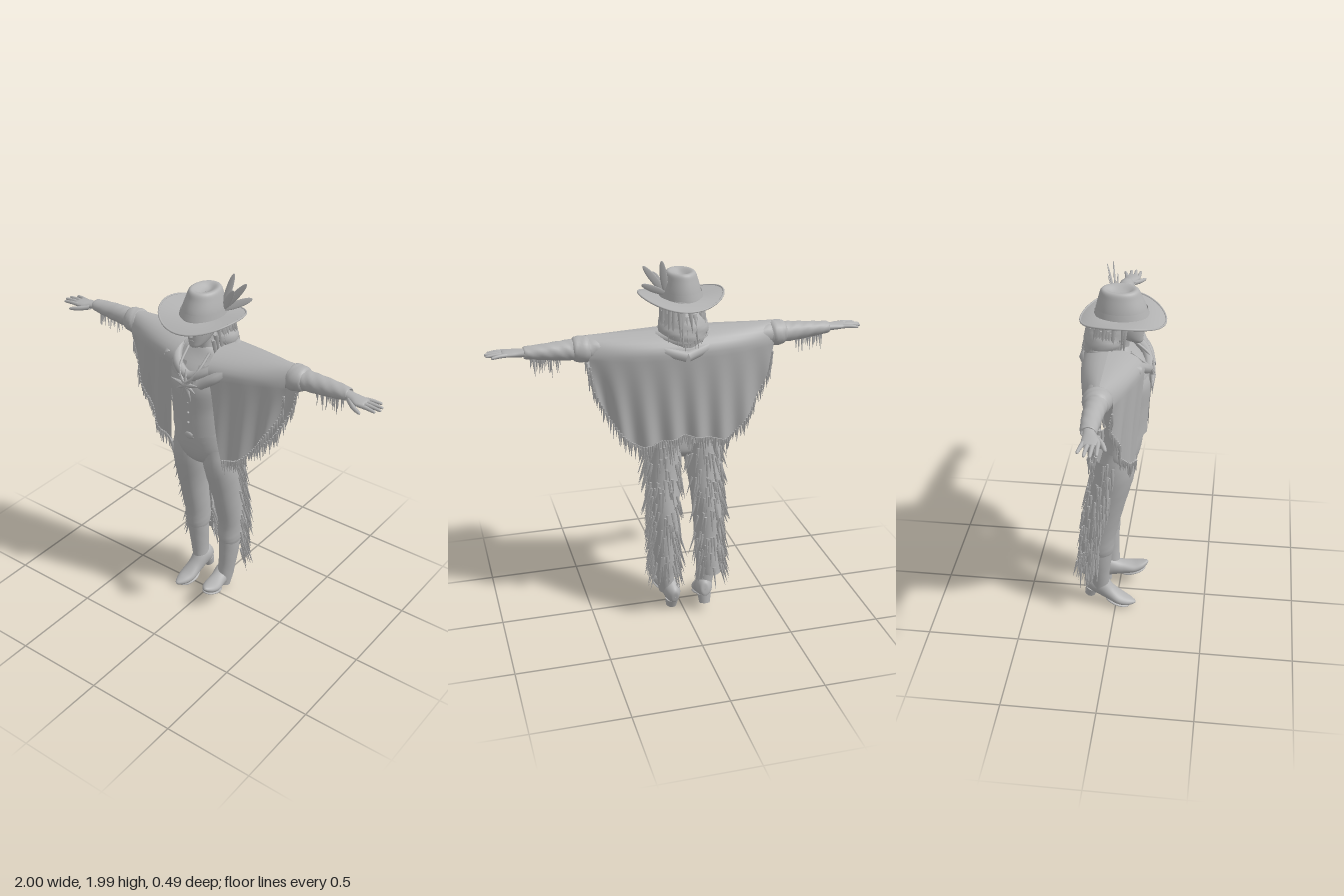
import * as THREE from 'three';
import { mergeGeometries } from 'three/addons/utils/BufferGeometryUtils.js';

const clay = new THREE.MeshStandardMaterial({ color: 0xb2b2b2, side: THREE.DoubleSide });
clay.name = 'plain grey';
const TAU = Math.PI * 2;
const V = (x, y, z) => new THREE.Vector3(x, y, z);
let seed = 7;
const rnd = (a = 0, b = 1) => {
  seed = (seed * 16807) % 2147483647;
  return a + (b - a) * seed / 2147483647;
};

// Grid surface from f(u, v); optionally joined where u wraps round
function grid(f, nu, nv, wrap = false) {
  const pos = [], idx = [], cols = wrap ? nu : nu + 1;
  for (let j = 0; j <= nv; j++)
    for (let i = 0; i < cols; i++) pos.push(...f(i / nu, j / nv));
  for (let j = 0; j < nv; j++)
    for (let i = 0; i < nu; i++) {
      const a = j * cols + i, b = j * cols + (i + 1) % cols;
      idx.push(a, b, a + cols, b, b + cols, a + cols);
    }
  const g = new THREE.BufferGeometry();
  g.setAttribute('position', new THREE.Float32BufferAttribute(pos, 3));
  g.setIndex(idx);
  g.computeVertexNormals();
  return g;
}

// Smooth loft through elliptical rings [t, p, q, rp, rq] along an axis
function loft(rings, axis = 'y', a0 = 0, a1 = TAU, ripple = 0, n = 28) {
  const c = new THREE.CatmullRomCurve3(rings.map(r => V(r[0], r[1], r[2])), false, 'catmullrom');
  const s = new THREE.CatmullRomCurve3(rings.map(r => V(r[3], r[4], 0)), false, 'catmullrom');
  return grid((u, v) => {
    const a = a0 + u * (a1 - a0), m = c.getPoint(v), r = s.getPoint(v);
    const k = 1 + ripple * Math.sin(a * 3 + v * 25) * Math.sin(v * 40 + a);
    const p = m.y + r.x * k * Math.sin(a), q = m.z + r.y * k * Math.cos(a);
    return axis === 'y' ? [p, m.x, q] : axis === 'x' ? [m.x, p, q] : [p, q, m.x];
  }, n, (rings.length - 1) * 5, a1 - a0 > 6.28);
}

// Tapered strand starting at a point and running along a direction
function strand(from, dir, len, w, sides = 4) {
  const g = new THREE.ConeGeometry(w, len, sides, 1);
  g.translate(0, len / 2, 0);
  g.applyQuaternion(new THREE.Quaternion().setFromUnitVectors(V(0, 1, 0), dir.clone().normalize()));
  return g.translate(from.x, from.y, from.z);
}
const tube = (pts, r, closed = false) =>
  new THREE.TubeGeometry(new THREE.CatmullRomCurve3(pts.map(p => V(...p)), closed), 48, r, 8, closed);
function ball(x, y, z, rx, ry, rz) {
  return new THREE.SphereGeometry(1, 20, 14).scale(rx, ry, rz).translate(x, y, z);
}

// Poncho: the cloth arches over the arms and hangs in front and behind
const hem = (x, side) => {
  const t = Math.min(1, Math.abs(x) / 0.49);
  return side > 0 ? 1.0 + 0.38 * Math.max(0, (t - 0.4) / 0.6) ** 1.7
    : 1.06 - 0.1 * t + 0.4 * Math.max(0, (t - 0.45) / 0.55) ** 1.7;
};
function drape(x, side, v) {
  const t = Math.min(1, Math.abs(x) / 0.49), top = 1.63;
  const out = side > 0 ? 0.17 - 0.14 * t ** 1.3 : -0.18 + 0.08 * t * t;
  if (v < 0.3) {
    const a = v / 0.3 * Math.PI / 2;
    return [x, top - 0.1 * (1 - Math.cos(a)), -0.035 + (out + 0.035) * Math.sin(a)];
  }
  const k = (v - 0.3) / 0.7;
  return [x * (1 - 0.04 * k), top - 0.1 + (hem(x, side) - top + 0.1) * k,
    out * (1 - 0.25 * k) + 0.014 * k * Math.sin(x * 45 + k * 2)];
}

export function createModel() {
  seed = 7;
  const model = new THREE.Group();
  model.name = 'fringedFigure';
  const add = (name, geo, parent = model) => {
    const m = new THREE.Mesh(Array.isArray(geo)
      ? mergeGeometries(geo.map(g => { g.deleteAttribute('uv'); return g; })) : geo, clay);
    m.name = name;
    parent.add(m);
    return m;
  };

  // Head and hair
  add('neck', loft([[1.52, -0.01, 0, 0.07, 0.06], [1.6, -0.01, 0.01, 0.045, 0.045], [1.7, -0.01, 0.02, 0.045, 0.05]]));
  add('head', loft([[1.625, -0.01, 0.1, 0.002, 0.002], [1.635, -0.01, 0.095, 0.028, 0.03], [1.665, -0.01, 0.06, 0.052, 0.068],
    [1.72, -0.01, 0.035, 0.07, 0.093], [1.78, -0.01, 0.02, 0.075, 0.1], [1.84, -0.01, 0.02, 0.05, 0.07]]));
  add('face', [strand(V(-0.01, 1.755, 0.118), V(0, -0.055, 0.012), 0.06, 0.012), ball(-0.01, 1.698, 0.135, 0.012, 0.01, 0.014),
    ball(-0.01, 1.67, 0.118, 0.02, 0.007, 0.012), ball(-0.04, 1.735, 0.113, 0.014, 0.007, 0.01), ball(0.02, 1.735, 0.113, 0.014, 0.007, 0.01)]);
  add('hair', loft([[1.8, -0.01, -0.01, 0.085, 0.095], [1.72, -0.01, -0.035, 0.105, 0.11], [1.64, -0.01, -0.06, 0.13, 0.115],
    [1.56, -0.01, -0.09, 0.1, 0.08]], 'y', 0.85, TAU - 0.85, 0.04, 44));
  const locks = [];
  for (let i = 0; i < 46; i++) {
    const a = 0.8 + (TAU - 1.6) * i / 45, y = rnd(1.66, 1.76);
    locks.push(strand(V(-0.01 + 0.1 * Math.sin(a), y, -0.035 + 0.105 * Math.cos(a)),
      V(Math.sin(a) * 0.2, -1, Math.cos(a) * 0.2 - 0.15), rnd(0.12, 0.19), 0.016));
  }
  add('hairLocks', locks);

  // Hat: saddle-shaped brim, creased crown, band and feathers
  add('hatBrim', grid((u, v) => {
    const a = u * TAU, r = 0.4 + 0.6 * v, s = Math.sin(a), c = Math.cos(a);
    return [-0.02 + 0.22 * r * s, 1.785 + 0.022 * v * s * s - 0.03 * v * v * c * c, 0.025 + 0.215 * r * c];
  }, 48, 8, true));
  add('hatBrimEdge', tube(Array.from({ length: 24 }, (_, i) => {
    const s = Math.sin(i / 24 * TAU), c = Math.cos(i / 24 * TAU);
    return [-0.02 + 0.22 * s, 1.785 + 0.022 * s * s - 0.03 * c * c, 0.025 + 0.215 * c];
  }), 0.005, true));
  add('hatCrown', loft([[1.78, -0.018, 0.018, 0.108, 0.135], [1.83, -0.016, 0.015, 0.1, 0.125], [1.88, -0.015, 0.01, 0.086, 0.108],
    [1.912, -0.015, 0.008, 0.074, 0.095], [1.918, -0.015, 0.008, 0.055, 0.075], [1.9, -0.015, 0.008, 0.02, 0.04], [1.895, -0.015, 0.008, 0.001, 0.001]]));
  add('hatBand', loft([[1.79, -0.018, 0.018, 0.112, 0.139], [1.82, -0.016, 0.016, 0.106, 0.132]]));
  const feathers = [[0.105, 1.995, -0.07], [0.195, 1.97, -0.05], [0.21, 1.885, -0.08], [0.14, 1.93, -0.02]].map(tip => {
    const a = V(0.07, 1.81, -0.02), d = V(...tip).sub(a), len = d.length();
    const g = ball(0, len * 0.5, 0, 0.019, len * 0.5, 0.004);
    g.applyQuaternion(new THREE.Quaternion().setFromUnitVectors(V(0, 1, 0), d.normalize()));
    return g.translate(a.x, a.y, a.z);
  });
  add('hatFeathers', feathers);

  // Torso, vest and hips
  add('shirt', loft([[1.08, -0.02, 0.035, 0.15, 0.1], [1.2, -0.02, 0.04, 0.142, 0.103], [1.35, -0.02, 0.045, 0.15, 0.11],
    [1.48, -0.015, 0.04, 0.17, 0.115], [1.57, -0.01, 0, 0.16, 0.08], [1.61, -0.01, 0, 0.06, 0.05]]));
  const vest = loft([[1.17, -0.02, 0.043, 0.158, 0.116], [1.3, -0.02, 0.046, 0.157, 0.12], [1.42, -0.018, 0.047, 0.168, 0.125],
    [1.54, -0.01, 0.02, 0.17, 0.1]], 'y', 0.22, TAU - 0.22, 0.008, 40);
  const vp = vest.attributes.position;
  for (let i = 0; i < vp.count; i++) {
    const front = Math.max(0, vp.getZ(i) - 0.06) / 0.1, low = Math.max(0, 1 - (vp.getY(i) - 1.17) / 0.2);
    vp.setY(i, vp.getY(i) - 0.045 * front * low);
  }
  vest.computeVertexNormals();
  add('vest', vest);
  add('hips', loft([[0.9, -0.02, 0.01, 0.02, 0.04], [0.94, -0.02, 0.01, 0.13, 0.085], [1.0, -0.02, 0.02, 0.178, 0.1],
    [1.08, -0.02, 0.03, 0.165, 0.102], [1.16, -0.02, 0.035, 0.148, 0.1]]));
  add('belt', loft([[1.1, -0.02, 0.033, 0.165, 0.108], [1.135, -0.02, 0.035, 0.16, 0.108]]));
  add('buckle', ball(-0.02, 1.117, 0.142, 0.03, 0.02, 0.008));
  add('shirtButtons', [1.2, 1.26, 1.32, 1.38].map(y => ball(-0.02, y, 0.15, 0.007, 0.007, 0.007)));

  // Poncho sheets and their fringes
  add('ponchoBack', grid((u, v) => drape(-0.49 + 0.98 * u, -1, v), 80, 24));
  const fringe = [];
  const hang = (x, side, v, len) => fringe.push(strand(V(...drape(x, side, v)),
    V(rnd(-0.12, 0.12), -1, rnd(-0.08, 0.08)), len, 0.008));
  for (let i = 0; i <= 80; i++) hang(-0.48 + 0.96 * i / 80, -1, 0.985, rnd(0.05, 0.1));
  for (const s of [-1, 1]) {
    const inner = v => 0.1 + 0.08 * v - (s > 0 ? 0.015 : 0);
    add(s > 0 ? 'ponchoFrontLeft' : 'ponchoFrontRight', grid((u, v) => {
      const a = inner(v);
      return drape(s * (a + (0.49 - a) * u), 1, v);
    }, 36, 24));
    for (let i = 0; i <= 34; i++) hang(s * (0.17 + 0.31 * i / 34), 1, 0.985, rnd(0.05, 0.1));
    for (let i = 0; i < 12; i++) hang(s * 0.488, i % 2 ? 1 : -1, 0.5 + i * 0.042, rnd(0.05, 0.09));
  }
  add('ponchoFringe', fringe);
  add('cowlFolds', [
    tube([[0, 1.59, -0.15], [0.12, 1.605, -0.08], [0.15, 1.59, 0.03], [0.09, 1.53, 0.13], [-0.01, 1.485, 0.155],
      [-0.1, 1.53, 0.13], [-0.15, 1.59, 0.03], [-0.13, 1.605, -0.08]], 0.026, true),
    tube([[0, 1.52, -0.175], [0.14, 1.56, -0.125], [0.215, 1.595, 0], [0.15, 1.52, 0.125], [0.06, 1.46, 0.16]], 0.03),
    tube([[0, 1.52, -0.175], [-0.14, 1.56, -0.125], [-0.215, 1.595, 0], [-0.16, 1.54, 0.12]], 0.03)]);

  // Claw necklace
  add('necklaceCord', tube([[-0.075, 1.6, 0.07], [-0.06, 1.52, 0.16], [-0.01, 1.46, 0.185], [0.045, 1.52, 0.16], [0.06, 1.6, 0.07]], 0.007));
  const claws = [];
  for (let i = 0; i < 9; i++) {
    const a = i / 9 * TAU + 0.35;
    claws.push(strand(V(-0.01, 1.44, 0.177), V(Math.sin(a), -Math.cos(a), 0.02), i % 2 ? 0.075 : 0.1, 0.016, 6));
  }
  add('necklaceClaws', claws);

  // Arms: sleeve, cuff, hand and forearm fringe
  for (const s of [1, -1]) {
    const arm = new THREE.Group();
    arm.name = s > 0 ? 'leftArm' : 'rightArm';
    arm.scale.x = s;
    model.add(arm);
    add('sleeve', loft([[0.12, 1.55, -0.02, 0.07, 0.08], [0.3, 1.555, -0.035, 0.066, 0.075], [0.45, 1.56, -0.04, 0.062, 0.068],
      [0.53, 1.565, -0.043, 0.056, 0.06], [0.6, 1.565, -0.045, 0.05, 0.055], [0.7, 1.567, -0.047, 0.042, 0.047],
      [0.8, 1.57, -0.045, 0.032, 0.038], [0.803, 1.57, -0.045, 0.022, 0.028]], 'x', 0, TAU, 0.05), arm);
    add('sleeveFold', loft([[0.47, 1.562, -0.042, 0.055, 0.06], [0.5, 1.563, -0.042, 0.068, 0.073], [0.55, 1.565, -0.043, 0.062, 0.066],
      [0.57, 1.565, -0.044, 0.045, 0.05]], 'x', 0, TAU, 0.04), arm);
    add('hand', [loft([[0.78, 1.57, -0.045, 0.022, 0.028], [0.83, 1.568, -0.035, 0.02, 0.033], [0.87, 1.567, -0.025, 0.018, 0.043],
      [0.91, 1.567, -0.022, 0.013, 0.042], [0.918, 1.567, -0.022, 0.002, 0.03]], 'x'),
      ...[[-0.055, 0.965, -0.072], [-0.033, 0.988, -0.04], [-0.011, 0.993, -0.012], [0.011, 0.978, 0.016]].map(([z, tx, tz]) =>
        loft([[0.89, 1.568, z, 0.011, 0.012], [(0.89 + tx) / 2, 1.568, (z + tz) / 2, 0.01, 0.01], [tx, 1.564, tz, 0.007, 0.007],
          [tx + 0.007, 1.563, tz, 0.001, 0.001]], 'x', 0, TAU, 0, 10)),
      loft([[0.82, 1.563, -0.015, 0.014, 0.016], [0.87, 1.556, 0.025, 0.013, 0.014], [0.915, 1.55, 0.045, 0.008, 0.009],
        [0.923, 1.55, 0.047, 0.001, 0.001]], 'x', 0, TAU, 0, 10)], arm);
    add('forearmFringe', Array.from({ length: 16 }, (_, i) =>
      strand(V(0.63 + i * 0.0095, 1.535, -0.045 + rnd(-0.015, 0.015)), V(rnd(-0.1, 0.1), -1, rnd(-0.15, 0.15)), rnd(0.05, 0.11), 0.007)), arm);
  }

  // Legs: trousers, fringed chaps and boots; the right leg trails a little
  for (const s of [1, -1]) {
    const leg = new THREE.Group();
    leg.name = s > 0 ? 'leftLeg' : 'rightLeg';
    model.add(leg);
    const back = y => s > 0 ? 0 : -0.055 * Math.max(0, 1 - y / 0.5);
    const place = ([y, x, z, rx, rz]) => [y, -0.02 + s * (x + 0.02), z + back(y), rx, rz];
    add('trouserLeg', loft([[1.04, 0.07, 0.02, 0.08, 0.085], [0.9, 0.083, 0.0, 0.091, 0.1], [0.7, 0.095, -0.04, 0.077, 0.088],
      [0.5, 0.097, -0.078, 0.068, 0.08], [0.4, 0.097, -0.075, 0.066, 0.074], [0.36, 0.096, -0.07, 0.056, 0.064]].map(place), 'y', 0, TAU, 0.015), leg);
    add('bootShaft', loft([[0.41, 0.096, -0.07, 0.06, 0.067], [0.3, 0.095, -0.066, 0.056, 0.06], [0.2, 0.09, -0.058, 0.048, 0.053],
      [0.1, 0.08, -0.048, 0.044, 0.05]].map(place), 'y', 0, TAU, 0.01), leg);
    const shell = [[1.0, 0.085, 0, 0.1, 0.115], [0.8, 0.093, -0.035, 0.092, 0.11], [0.6, 0.1, -0.075, 0.083, 0.105],
      [0.4, 0.1, -0.085, 0.078, 0.105], [0.25, 0.1, -0.09, 0.07, 0.1]].map(place);
    const [a0, a1] = s > 0 ? [1.5, 4.4] : [TAU - 4.4, TAU - 1.5];
    add('chaps', loft(shell, 'y', a0, a1, 0.03), leg);
    const strands = [];
    for (let i = 0; i < 210; i++) {
      const v = rnd() * (shell.length - 1), j = Math.floor(v);
      const r = shell[j].map((n, k) => n + (shell[j + 1][k] - n) * (v - j));
      const a = i % 3 ? rnd(a0, a1) : s > 0 ? rnd(1.4, 2.0) : rnd(TAU - 2.0, TAU - 1.4);
      const dx = Math.sin(a), dz = Math.cos(a);
      strands.push(strand(V(r[1] + r[3] * dx, r[0] + 0.03, r[2] + r[4] * dz),
        V(dx * rnd(0.15, 0.4), -1, dz * rnd(0, 0.3)), rnd(0.08, 0.15), 0.009));
    }
    add('chapsFringe', strands, leg);

    // Pointed boot with a stacked heel
    const boot = new THREE.Group();
    boot.name = 'boot';
    boot.position.set(s > 0 ? 0.068 : -0.118, s > 0 ? 0.035 : 0.038, s > 0 ? -0.03 : -0.105);
    boot.rotation.set(s > 0 ? -0.25 : 0.28, s * 0.14, 0, 'YXZ');
    leg.add(boot);
    add('bootFoot', loft([[-0.09, 0, 0.08, 0.002, 0.002], [-0.085, 0, 0.08, 0.025, 0.04], [-0.05, 0, 0.085, 0.045, 0.055],
      [0, 0, 0.085, 0.047, 0.063], [0.06, 0, 0.06, 0.046, 0.045], [0.12, 0, 0.045, 0.05, 0.032], [0.17, 0, 0.045, 0.038, 0.024],
      [0.205, 0, 0.052, 0.016, 0.012], [0.215, 0, 0.055, 0.002, 0.002]], 'z'), boot);
    const heel = new THREE.CylinderGeometry(0.038, 0.03, 0.05, 16);
    add('bootHeel', heel.translate(0, 0.02, -0.048), boot);
    const sole = ball(0, 0.02, 0.115, 0.05, 0.012, 0.075);
    add('bootSole', sole, boot);
  }
  return model;
}
